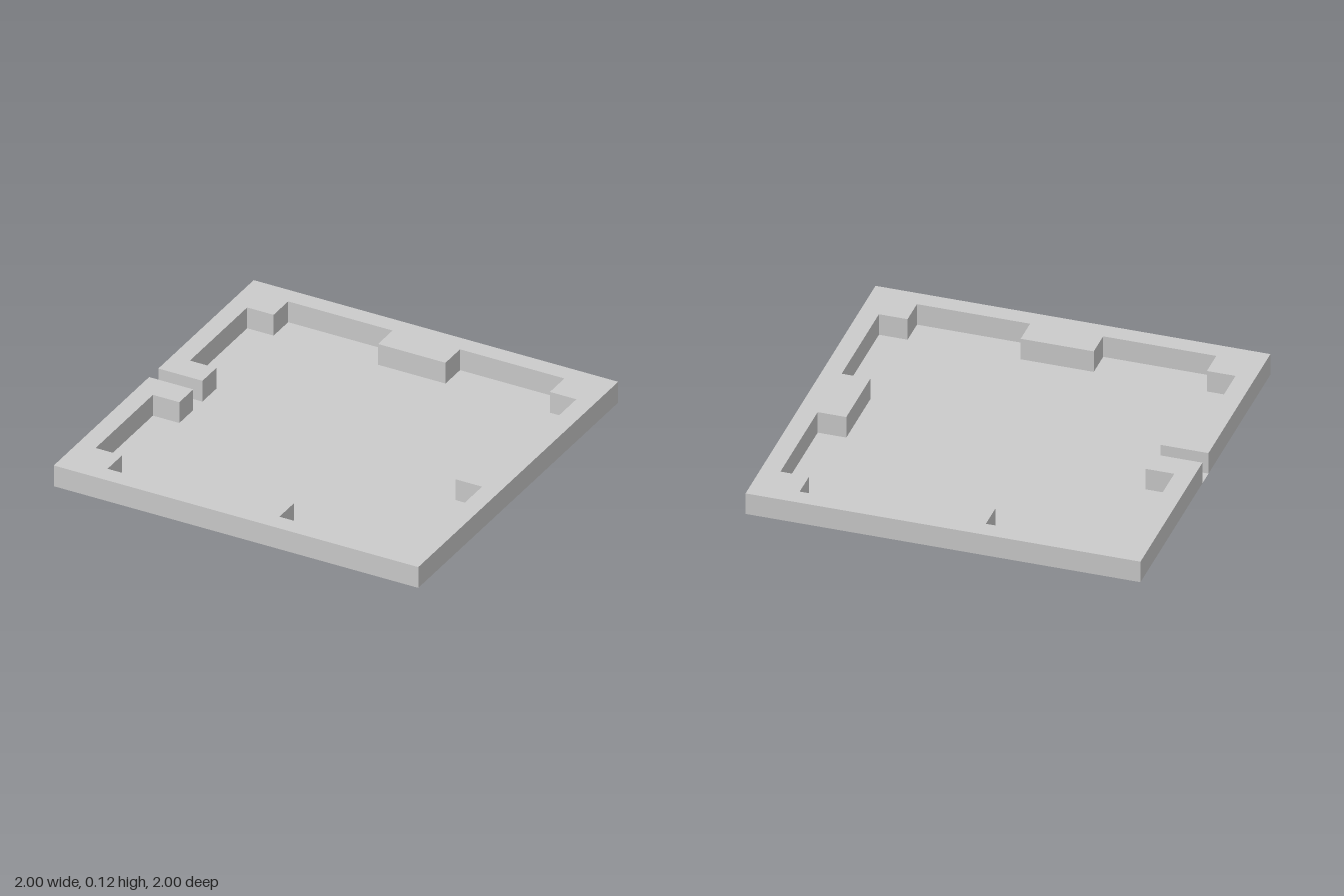
import * as THREE from 'three';

const H = 0.116;      // tray height
const OUT = 0.903;    // recess edge
const IN = 0.758;     // tabs and corner blocks reach in to here
const TAB = 0.185;    // half width of a tab
const SLOT = 0.046;   // half width of the slot in the right-hand rim

export function createModel() {
  const group = new THREE.Group();
  const material = new THREE.MeshStandardMaterial({ color: 0xcccccc, side: THREE.DoubleSide, flatShading: true });
  const add = (name, geometry) => {
    geometry.rotateX(-Math.PI / 2); // plan drawn in x/y, raised along z
    const mesh = new THREE.Mesh(geometry, material);
    mesh.name = name;
    group.add(mesh);
  };

  // Recess outline, counter-clockwise: one side repeated four times by quarter turns
  const side = [[-IN, -IN], [-IN, -OUT], [-TAB, -OUT], [-TAB, -IN], [TAB, -IN], [TAB, -OUT], [IN, -OUT]];
  const recess = [];
  for (let k = 0; k < 4; k++) {
    for (const [x, y] of side) {
      const [c, s] = [[1, 0], [0, 1], [-1, 0], [0, -1]][k];
      recess.push(new THREE.Vector2(c * x - s * y, s * x + c * y));
    }
  }
  // Start the outline at the slot, which cuts the middle of the last tab
  const cut = 25;
  const inner = [
    new THREE.Vector2(-IN, -SLOT),
    ...recess.slice(cut), ...recess.slice(0, cut),
    new THREE.Vector2(-IN, SLOT),
  ];
  const mouth = [new THREE.Vector2(-1, SLOT), new THREE.Vector2(-1, -SLOT)];

  // Floor of the recess and slot
  add('floor', new THREE.ShapeGeometry(new THREE.Shape([...inner, ...mouth])));

  // Rim top, a broken ring open at the slot
  const corners = [[-1, -1], [1, -1], [1, 1], [-1, 1]].map(([x, y]) => new THREE.Vector2(x, y));
  const rim = [mouth[1], ...corners, mouth[0], ...[...inner].reverse()];
  const top = new THREE.ShapeGeometry(new THREE.Shape(rim));
  top.translate(0, 0, H);
  add('rimTop', top);

  // Thin walls below every edge of the rim; the rim is hollow underneath
  const positions = [];
  rim.forEach((p, i) => {
    const q = rim[(i + 1) % rim.length];
    positions.push(p.x, p.y, 0, q.x, q.y, 0, q.x, q.y, H);
    positions.push(p.x, p.y, 0, q.x, q.y, H, p.x, p.y, H);
  });
  const walls = new THREE.BufferGeometry();
  walls.setAttribute('position', new THREE.Float32BufferAttribute(positions, 3));
  walls.computeVertexNormals();
  add('rimWalls', walls);

  return group;
}
